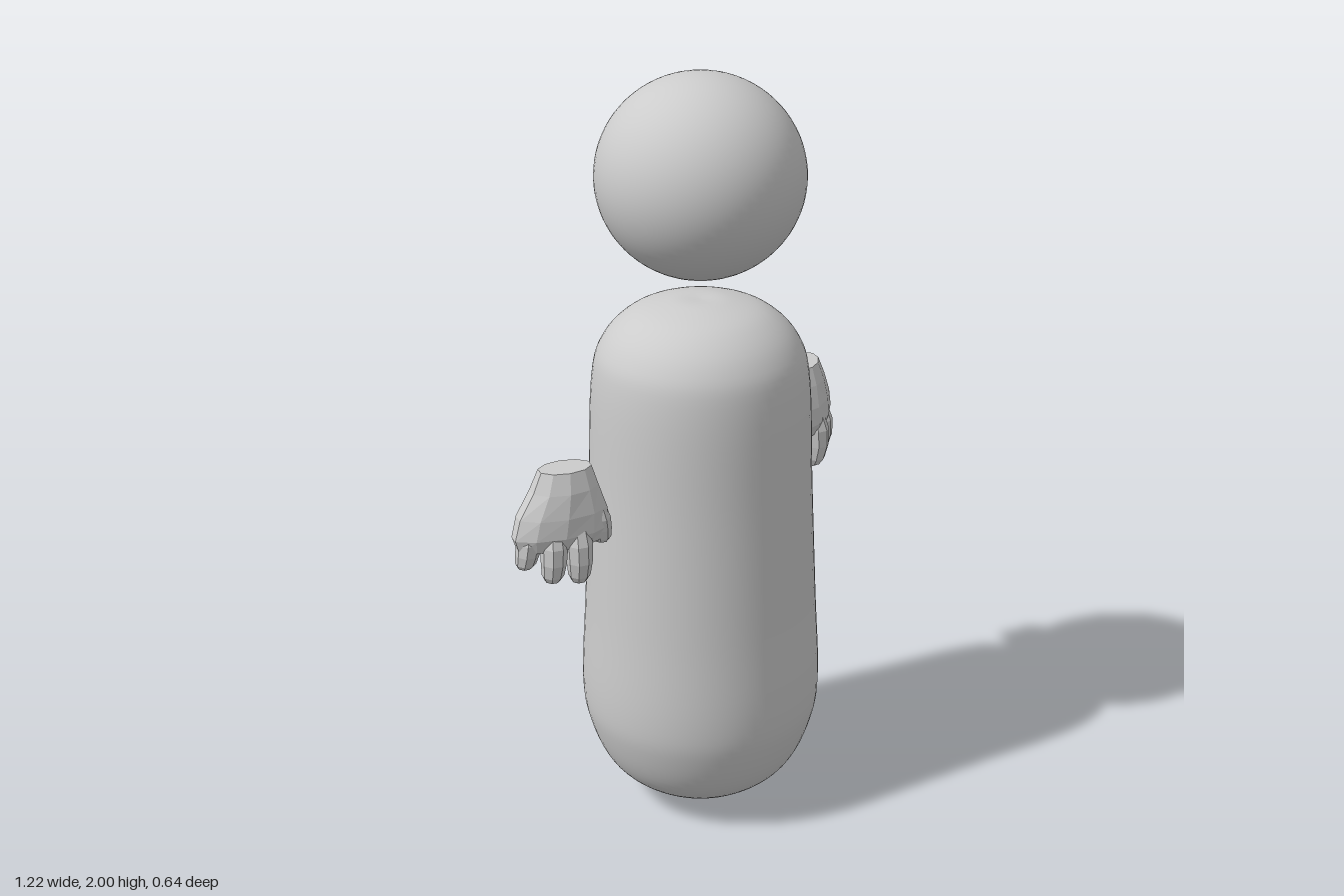
import * as THREE from 'three';

const smooth = new THREE.MeshStandardMaterial({ color: 0xcccccc });
const faceted = new THREE.MeshStandardMaterial({ color: 0xcccccc, flatShading: true });

// Closed loft running downwards; each ring is [centreX, y, centreZ, radiusX, radiusZ].
// side = -1 mirrors it in x and flips the winding.
function loft(rings, sides, side) {
  const pos = [], index = [];
  const tri = (a, b, c) => index.push(...(side > 0 ? [a, b, c] : [a, c, b]));
  for (const [x, y, z, rx, rz] of rings) {
    for (let j = 0; j < sides; j++) {
      const a = ((j + 0.5) / sides) * Math.PI * 2;
      pos.push(side * (x + rx * Math.cos(a)), y, z + rz * Math.sin(a));
    }
  }
  const last = (rings.length - 1) * sides;
  const top = pos.length / 3, bottom = top + 1;
  for (const r of [rings[0], rings[rings.length - 1]]) pos.push(side * r[0], r[1], r[2]);
  for (let j = 0; j < sides; j++) {
    const k = (j + 1) % sides;
    for (let i = 0; i < last; i += sides) {
      tri(i + j, i + k, i + sides + j);
      tri(i + k, i + sides + k, i + sides + j);
    }
    tri(top, k, j);
    tri(bottom, last + j, last + k);
  }
  const geo = new THREE.BufferGeometry();
  geo.setAttribute('position', new THREE.Float32BufferAttribute(pos, 3));
  geo.setIndex(index);
  geo.computeVertexNormals();
  return geo;
}

// Tapered, slightly curled digit from a base point to a tip point
function digit(base, tip, radius, bulge, side) {
  const steps = [[0, 0.85], [0.3, 1.05], [0.6, 1], [0.85, 0.86], [0.96, 0.6], [1, 0.3]];
  const rings = steps.map(([t, s]) => [
    THREE.MathUtils.lerp(base[0], tip[0], t),
    THREE.MathUtils.lerp(base[1], tip[1], t),
    THREE.MathUtils.lerp(base[2], tip[2], t) + bulge * Math.sin(Math.PI * t),
    radius * s, radius * s * 1.1,
  ]);
  return loft(rings, 8, side);
}

function createHand(side) {
  const hand = new THREE.Group();
  hand.name = side > 0 ? 'leftHand' : 'rightHand';
  const add = (name, geo) => {
    const mesh = new THREE.Mesh(geo, faceted);
    mesh.name = name;
    hand.add(mesh);
  };

  // Palm widening from the flat wrist to the knuckles
  add('palm', loft([
    [-0.015, 1.11, -0.005, 0.068, 0.042],
    [-0.01, 1.06, 0, 0.088, 0.054],
    [0, 1.0, 0.008, 0.118, 0.056],
    [0.008, 0.95, 0.016, 0.126, 0.05],
    [0.015, 0.915, 0.018, 0.108, 0.036],
  ], 10, side));

  // Three fingers and the thumb on the inner side
  add('indexFinger', digit([-0.032, 0.97, 0.028], [-0.032, 0.81, 0.03], 0.032, 0.012, side));
  add('middleFinger', digit([0.03, 0.97, 0.026], [0.036, 0.82, 0.026], 0.032, 0.012, side));
  add('littleFinger', digit([0.084, 0.97, 0.012], [0.1, 0.86, 0.005], 0.03, 0.008, side));
  add('thumb', digit([-0.088, 1.0, 0.008], [-0.104, 0.895, -0.002], 0.03, 0.004, side));

  hand.position.set(side * 0.48, 0, -0.035);
  hand.rotation.y = side * 0.465;
  return hand;
}

export function createModel() {
  const model = new THREE.Group();
  model.name = 'figure';

  // Floating head, very slightly flattened
  const head = new THREE.Mesh(new THREE.SphereGeometry(0.263, 64, 40), smooth);
  head.name = 'head';
  head.scale.y = 0.973;
  head.position.y = 1.744;
  model.add(head);

  // Rounded body, wider towards the bottom
  const curve = new THREE.SplineCurve([
    [0, 0.004], [0.07, 0.012], [0.17, 0.052], [0.255, 0.126], [0.304, 0.24], [0.319, 0.36],
    [0.307, 0.6], [0.292, 0.92], [0.28, 1.21], [0.25, 1.32], [0.175, 1.393], [0.075, 1.424], [0, 1.425],
  ].map(([x, y]) => new THREE.Vector2(x, y)));
  const profile = curve.getPoints(72).map((p) => new THREE.Vector2(Math.max(p.x, 0), Math.max(p.y, 0)));
  const body = new THREE.Mesh(new THREE.LatheGeometry(profile, 64), smooth);
  body.name = 'body';
  model.add(body);

  // Mirrored hands
  for (const side of [1, -1]) model.add(createHand(side));
  return model;
}
